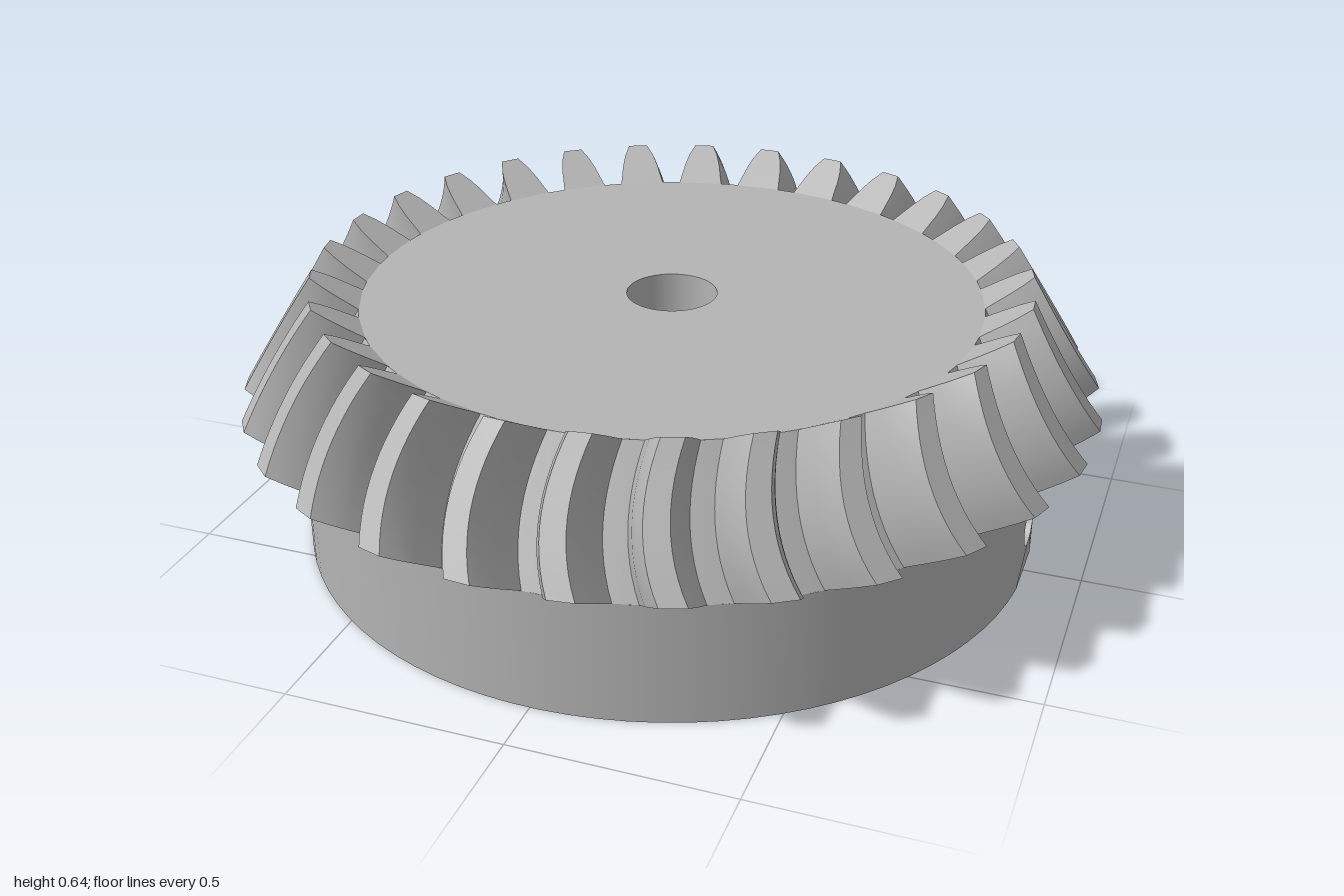
import * as THREE from 'three';
import { mergeGeometries } from 'three/addons/utils/BufferGeometryUtils.js';

const TEETH = 29, HUB_R = 0.87, HUB_H = 0.285, TOP_R = 0.72, TOP_Y = 0.575;
const BORE_R = 0.105, SCREW_R = 0.055, SCREW_Y = 0.13, PATCH = 0.1;
const APEX_Y = 1.968, DEG = Math.PI / 180;

// Smooth surface through rows of points
function gridGeometry(rows) {
  const cols = rows[0].length, index = [];
  for (let i = 0; i < rows.length - 1; i++) {
    for (let j = 0; j < cols - 1; j++) {
      const a = i * cols + j, b = a + cols;
      index.push(a, a + 1, b + 1, a, b + 1, b);
    }
  }
  return indexed(rows.flat(), index);
}

function indexed(points, index) {
  const g = new THREE.BufferGeometry().setFromPoints(points);
  g.setIndex(index);
  g.computeVertexNormals();
  return g;
}

function fan(points, flip) {
  const index = [];
  for (let i = 1; i < points.length - 1; i++) index.push(0, flip ? i + 1 : i, flip ? i : i + 1);
  return indexed(points, index);
}

// One bowed tooth whose section shrinks toward the cone apex
function toothGeometry() {
  const flank = [[4.5, -0.04], [3.95, 0.2], [3.4, 0.47], [2.65, 0.75], [1.65, 1]]; // half angle, height
  const steps = 12;
  const row = (angle, s) => Array.from({ length: steps + 1 }, (_, j) => {
    const t = j / steps;
    const scale = 1 - t * (1 - TOP_R / HUB_R);
    const phi = (angle - 1.3 + 8 * t * (1 - t)) * DEG;
    const r = (HUB_R + 0.13 * s) * scale;
    const y = APEX_Y + (HUB_H + 0.08 * s - APEX_Y) * scale;
    return new THREE.Vector3(r * Math.sin(phi), y, -r * Math.cos(phi));
  });
  const left = flank.map(([a, s]) => row(-a, s));
  const right = flank.map(([a, s]) => row(a, s)).reverse();
  const all = [...left, ...right];
  return mergeGeometries([
    gridGeometry(left),
    gridGeometry([left[left.length - 1], right[0]]),
    gridGeometry(right),
    fan(all.map(r => r[0]), false),
    fan(all.map(r => r[steps]), true),
  ]);
}

function circlePath(r, x = 0, y = 0) {
  return new THREE.Path().absarc(x, y, r, 0, Math.PI * 2, true);
}

export function createModel() {
  const group = new THREE.Group();
  const steel = new THREE.MeshStandardMaterial({ color: 0xb4b4b4 });
  steel.name = 'steel grey';
  const inner = steel.clone(); // same colour, for walls seen from within
  inner.side = THREE.BackSide;

  const add = (name, geometry, material = steel) => {
    const mesh = new THREE.Mesh(geometry, material);
    mesh.name = name;
    group.add(mesh);
    return mesh;
  };

  // Hub wall, open where the screw hole patch sits on +x
  add('hubWall', new THREE.CylinderGeometry(HUB_R, HUB_R, HUB_H, 84, 1, true,
    Math.PI / 2 + PATCH, Math.PI * 2 - 2 * PATCH)).position.y = HUB_H / 2;

  // Wall patch with the screw hole, bent around the hub
  const w = PATCH * HUB_R;
  const patchShape = new THREE.Shape([
    new THREE.Vector2(-w, 0), new THREE.Vector2(w, 0),
    new THREE.Vector2(w, HUB_H), new THREE.Vector2(-w, HUB_H),
  ]);
  patchShape.holes.push(circlePath(SCREW_R, 0, SCREW_Y));
  const patch = new THREE.ShapeGeometry(patchShape, 20);
  const p = patch.attributes.position;
  for (let i = 0; i < p.count; i++) {
    const a = p.getX(i) / HUB_R;
    p.setXYZ(i, HUB_R * Math.cos(a), p.getY(i), -HUB_R * Math.sin(a));
  }
  patch.computeVertexNormals();
  add('screwHolePatch', patch);

  // Screw hole running inward to the nut slot
  const tube = new THREE.CylinderGeometry(SCREW_R, SCREW_R, 0.37, 32, 1, true);
  tube.rotateZ(Math.PI / 2);
  add('screwHole', tube, inner).position.set(0.685, SCREW_Y, 0);

  // Underside with the bore and nut slot cut out
  const base = new THREE.Shape().absarc(0, 0, HUB_R, 0, Math.PI * 2, false);
  base.holes.push(circlePath(BORE_R), new THREE.Path([
    new THREE.Vector2(0.42, -0.085), new THREE.Vector2(0.42, 0.085),
    new THREE.Vector2(0.5, 0.085), new THREE.Vector2(0.5, -0.085),
  ]));
  add('underside', new THREE.ShapeGeometry(base, 48).rotateX(Math.PI / 2));

  // Nut slot walls and roof, with the bottom left open
  const slot = new THREE.BoxGeometry(0.08, 0.22, 0.17);
  const idx = Array.from(slot.index.array);
  idx.splice(18, 6);
  slot.setIndex(idx);
  slot.clearGroups();
  add('nutSlot', slot, inner).position.set(0.46, 0.11, 0);

  // Root cone, top face and bore
  add('rootCone', new THREE.CylinderGeometry(TOP_R, HUB_R, TOP_Y - HUB_H, 87, 1, true))
    .position.y = (TOP_Y + HUB_H) / 2;
  add('topFace', new THREE.RingGeometry(BORE_R, TOP_R, 87).rotateX(-Math.PI / 2)).position.y = TOP_Y;
  add('bore', new THREE.CylinderGeometry(BORE_R, BORE_R, TOP_Y, 87, 1, true), inner).position.y = TOP_Y / 2;

  // Ring of teeth
  const tooth = toothGeometry();
  for (let k = 0; k < TEETH; k++) {
    add('tooth', tooth).rotation.y = -k * Math.PI * 2 / TEETH;
  }
  return group;
}
